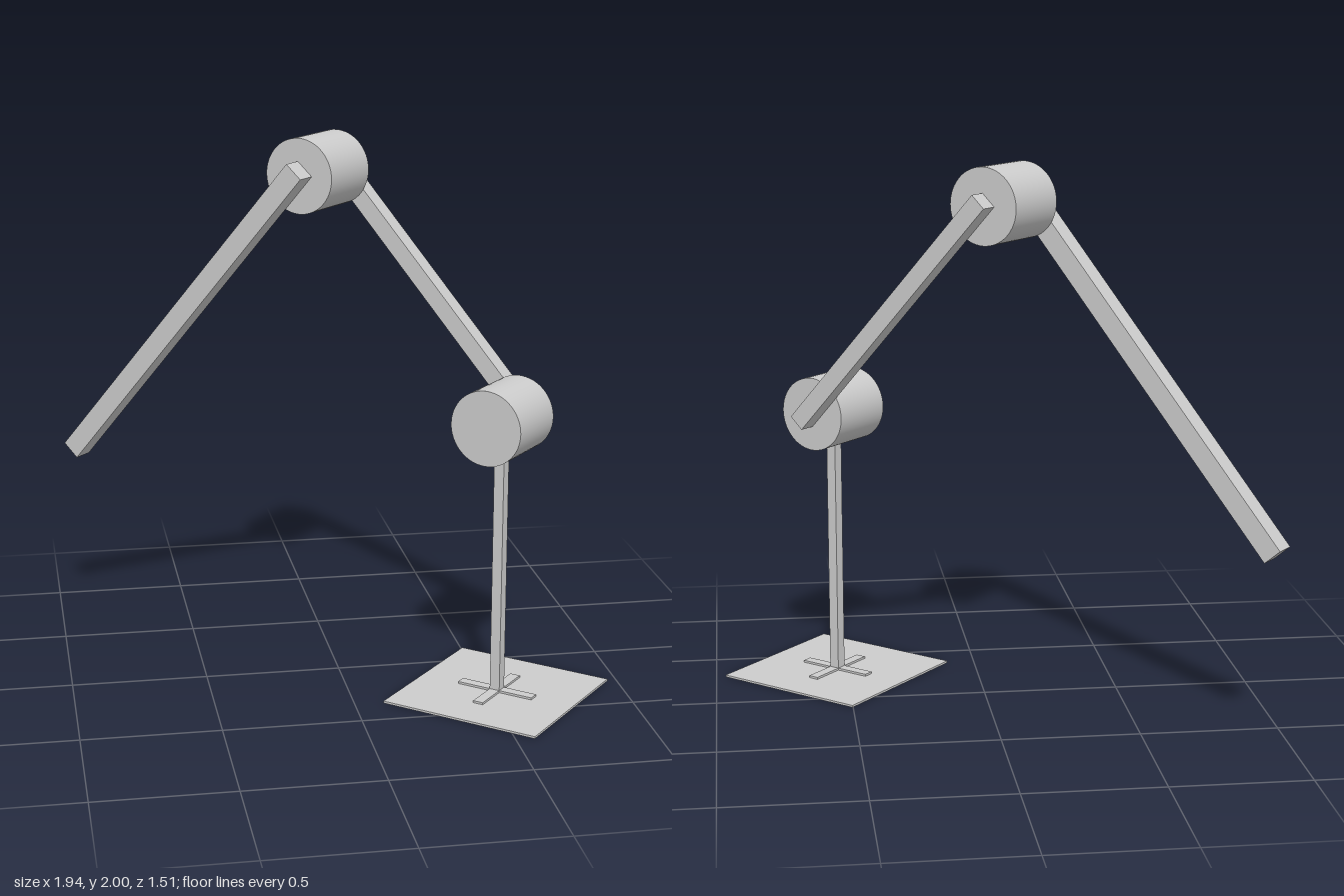
import * as THREE from 'three';

export function createModel() {
  const grey = new THREE.MeshStandardMaterial({ color: 0xcccccc });
  grey.name = 'light grey';

  const model = new THREE.Group();
  model.name = 'jointedArm';
  // the whole stand is turned about its post
  model.position.set(0.535, 0, 0.324);
  model.rotation.y = THREE.MathUtils.degToRad(-40.7);

  function add(name, geometry, x, y, z) {
    const mesh = new THREE.Mesh(geometry, grey);
    mesh.name = name;
    mesh.position.set(x, y, z);
    model.add(mesh);
    return mesh;
  }

  // base plate with a raised cross foot and square post
  add('basePlate', new THREE.BoxGeometry(0.61, 0.008, 0.61), 0, 0.004, 0);
  add('footBarAcross', new THREE.BoxGeometry(0.3, 0.012, 0.039), 0, 0.01, 0);
  add('footBarAlong', new THREE.BoxGeometry(0.039, 0.012, 0.3), 0, 0.01, 0);
  add('post', new THREE.BoxGeometry(0.039, 0.91, 0.039), 0, 0.463, 0);

  // joint drums, axes along local z
  const drumLength = 0.26;
  const elbow = new THREE.Vector2(0, 1.037);
  const top = new THREE.Vector2(-0.767, 1.863);
  const drum = new THREE.CylinderGeometry(0.137, 0.137, drumLength, 64).rotateX(Math.PI / 2);
  add('lowerJoint', drum, elbow.x, elbow.y, 0);
  add('upperJoint', drum, top.x, top.y, 0);

  // square bar from a to b on one drum face, extended past each end
  function bar(name, a, b, width, side, extraA, extraB) {
    const d = b.clone().sub(a).normalize();
    const start = a.clone().addScaledVector(d, -extraA);
    const end = b.clone().addScaledVector(d, extraB);
    const mid = start.clone().add(end).multiplyScalar(0.5);
    const geometry = new THREE.BoxGeometry(start.distanceTo(end), width, width);
    const mesh = add(name, geometry, mid.x, mid.y, side * (drumLength + width) / 2);
    mesh.rotation.z = d.angle();
  }
  bar('lowerArm', elbow, top, 0.066, -1, 0.033, 0.033);
  bar('upperArm', top, new THREE.Vector2(-1.78, 0.707), 0.077, 1, 0.038, 0);

  const root = new THREE.Group();
  root.name = 'model';
  root.add(model);
  return root;
}
